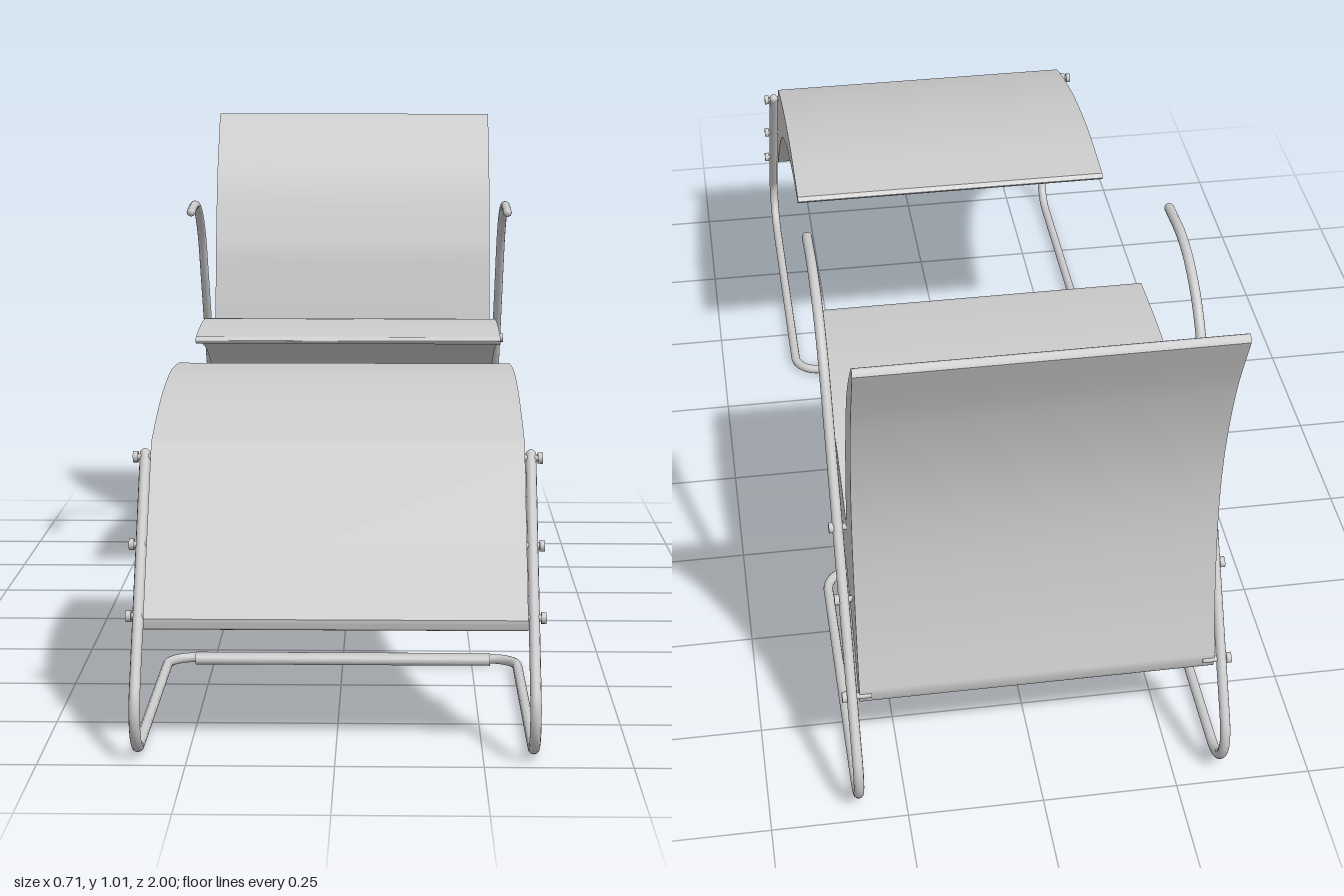
import * as THREE from 'three';
import { toCreasedNormals } from 'three/addons/utils/BufferGeometryUtils.js';

const material = new THREE.MeshStandardMaterial({ color: 0xcccccc });
const WIDTH = 0.65, TUBE_R = 0.0095;

function addMesh(parent, name, geometry) {
  const mesh = new THREE.Mesh(geometry, material);
  mesh.name = name;
  parent.add(mesh);
  return mesh;
}

// Closed side profile made of smooth runs of [z, y] points, swept across the width.
function sweptProfile(runs) {
  const toV = ([z, y]) => new THREE.Vector2(-z, y);
  const shape = new THREE.Shape();
  const first = toV(runs[0][0]);
  shape.moveTo(first.x, first.y);
  for (const run of runs) {
    const pts = run.slice(1).map(toV);
    if (pts.length === 1) shape.lineTo(pts[0].x, pts[0].y);
    else shape.splineThru(pts);
  }
  const geo = new THREE.ExtrudeGeometry(shape, { depth: WIDTH, bevelEnabled: false, curveSegments: 6 });
  geo.translate(0, 0, -WIDTH / 2);
  geo.rotateY(Math.PI / 2);
  return toCreasedNormals(geo, 0.6);
}

// Path through corner points, each corner rounded by an arc with the given tangent length.
function roundedPath(corners) {
  const path = new THREE.CurvePath();
  const pts = corners.map(([x, y, z]) => new THREE.Vector3(x, y, z));
  let last = pts[0];
  for (let i = 1; i < pts.length - 1; i++) {
    const t = corners[i][3];
    const back = pts[i - 1].clone().sub(pts[i]).normalize();
    const ahead = pts[i + 1].clone().sub(pts[i]).normalize();
    const turn = Math.PI - back.angleTo(ahead);
    const k = t * (1 - (4 / 3) * Math.tan(turn / 4) / Math.tan(turn / 2));
    const at = (dir, d) => pts[i].clone().addScaledVector(dir, d);
    path.add(new THREE.LineCurve3(last, at(back, t)));
    path.add(new THREE.CubicBezierCurve3(at(back, t), at(back, k), at(ahead, k), at(ahead, t)));
    last = at(ahead, t);
  }
  path.add(new THREE.LineCurve3(last, pts[pts.length - 1]));
  return path;
}

// One bent tube: down one side, across the floor and up the mirrored side.
function addFrame(parent, side) {
  const mirrored = side.map(([x, y, z, t]) => [-x, y, z, t]).reverse();
  const path = roundedPath([...side, ...mirrored]);
  addMesh(parent, 'tubeFrame', new THREE.TubeGeometry(path, 400, TUBE_R, 12, false));
  for (const [x, y, z] of [side[0], mirrored[mirrored.length - 1]]) {
    addMesh(parent, 'tubeEndCap', new THREE.SphereGeometry(TUBE_R, 12, 8)).position.set(x, y, z);
  }
}

// Flat, round-edged sleeve over the floor crossbar.
function addSleeve(parent, z) {
  const r = 0.0098, half = 0.009, length = 0.57;
  const s = new THREE.Shape();
  s.absarc(half, 0, r, -Math.PI / 2, Math.PI / 2);
  s.absarc(-half, 0, r, Math.PI / 2, Math.PI * 1.5);
  const geo = new THREE.ExtrudeGeometry(s, { depth: length, bevelEnabled: false, curveSegments: 10 });
  geo.translate(0, 0, -length / 2);
  geo.rotateY(Math.PI / 2);
  addMesh(parent, 'crossbarSleeve', toCreasedNormals(geo, 0.6)).position.set(0, 0.011, z);
}

// Bolts through the tube into the upholstery, on both sides.
function addBolts(parent, spots) {
  for (const side of [-1, 1]) {
    for (const [z, y] of spots) {
      const pin = new THREE.CylinderGeometry(0.006, 0.006, 0.045, 10).rotateZ(Math.PI / 2);
      addMesh(parent, 'boltPin', pin).position.set(side * 0.326, y, z);
      const head = new THREE.CylinderGeometry(0.01, 0.01, 0.009, 12).rotateZ(Math.PI / 2);
      addMesh(parent, 'boltHead', head).position.set(side * 0.352, y, z);
    }
  }
}

export function createModel() {
  const model = new THREE.Group();
  model.name = 'loungeChairWithFootrest';

  // Chair: seat and backrest share one profile.
  const chair = new THREE.Group();
  chair.name = 'chair';
  model.add(chair);
  addMesh(chair, 'seatAndBackrest', sweptProfile([
    [[-0.197, 0.57], [-0.3, 0.578], [-0.4, 0.58], [-0.5, 0.573], [-0.61, 0.552], [-0.7, 0.526], [-0.75, 0.508]],
    [[-0.75, 0.508], [-0.758, 0.512], [-0.764, 0.525]],
    [[-0.764, 0.525], [-0.785, 0.635], [-0.808, 0.73], [-0.868, 0.88], [-0.967, 1.01]],
    [[-0.967, 1.01], [-0.978, 1.016], [-0.986, 1.005]],
    [[-0.986, 1.005], [-0.925, 0.86], [-0.885, 0.7], [-0.875, 0.55], [-0.892, 0.38], [-0.922, 0.235]],
    [[-0.922, 0.235], [-0.916, 0.218], [-0.9, 0.214]],
    [[-0.9, 0.214], [-0.825, 0.3], [-0.69, 0.41], [-0.53, 0.49], [-0.345, 0.537], [-0.197, 0.555]],
    [[-0.197, 0.555], [-0.19, 0.5625], [-0.197, 0.57]],
  ]));
  addFrame(chair, [
    [0.343, 0.827, -0.318],
    [0.343, 0.85, -0.545, 0.16],
    [0.337, 0.0115, -1.055, 0.148],
    [0.337, 0.0115, -0.34, 0.05],
  ]);
  addSleeve(chair, -0.343);
  addBolts(chair, [[-0.757, 0.497], [-0.826, 0.386], [-0.918, 0.235]]);

  // Footrest: faces away from the chair, with its own frame.
  const footrest = new THREE.Group();
  footrest.name = 'footrest';
  model.add(footrest);
  addMesh(footrest, 'footrestCushion', sweptProfile([
    [[0.21, 0.571], [0.355, 0.58], [0.47, 0.574], [0.57, 0.56], [0.67, 0.537], [0.745, 0.515]],
    [[0.745, 0.515], [0.762, 0.507], [0.775, 0.49]],
    [[0.775, 0.49], [0.934, 0.236]],
    [[0.934, 0.236], [0.931, 0.219], [0.917, 0.214]],
    [[0.917, 0.214], [0.81, 0.327], [0.675, 0.432], [0.515, 0.505], [0.327, 0.546], [0.21, 0.556]],
    [[0.21, 0.556], [0.203, 0.5635], [0.21, 0.571]],
  ]));
  addFrame(footrest, [
    [0.336, 0.488, 0.758],
    [0.336, 0.0115, 1.044, 0.128],
    [0.336, 0.0115, 0.345, 0.05],
  ]);
  addSleeve(footrest, 0.348);
  addBolts(footrest, [[0.762, 0.483], [0.844, 0.345], [0.91, 0.235]]);

  return model;
}
